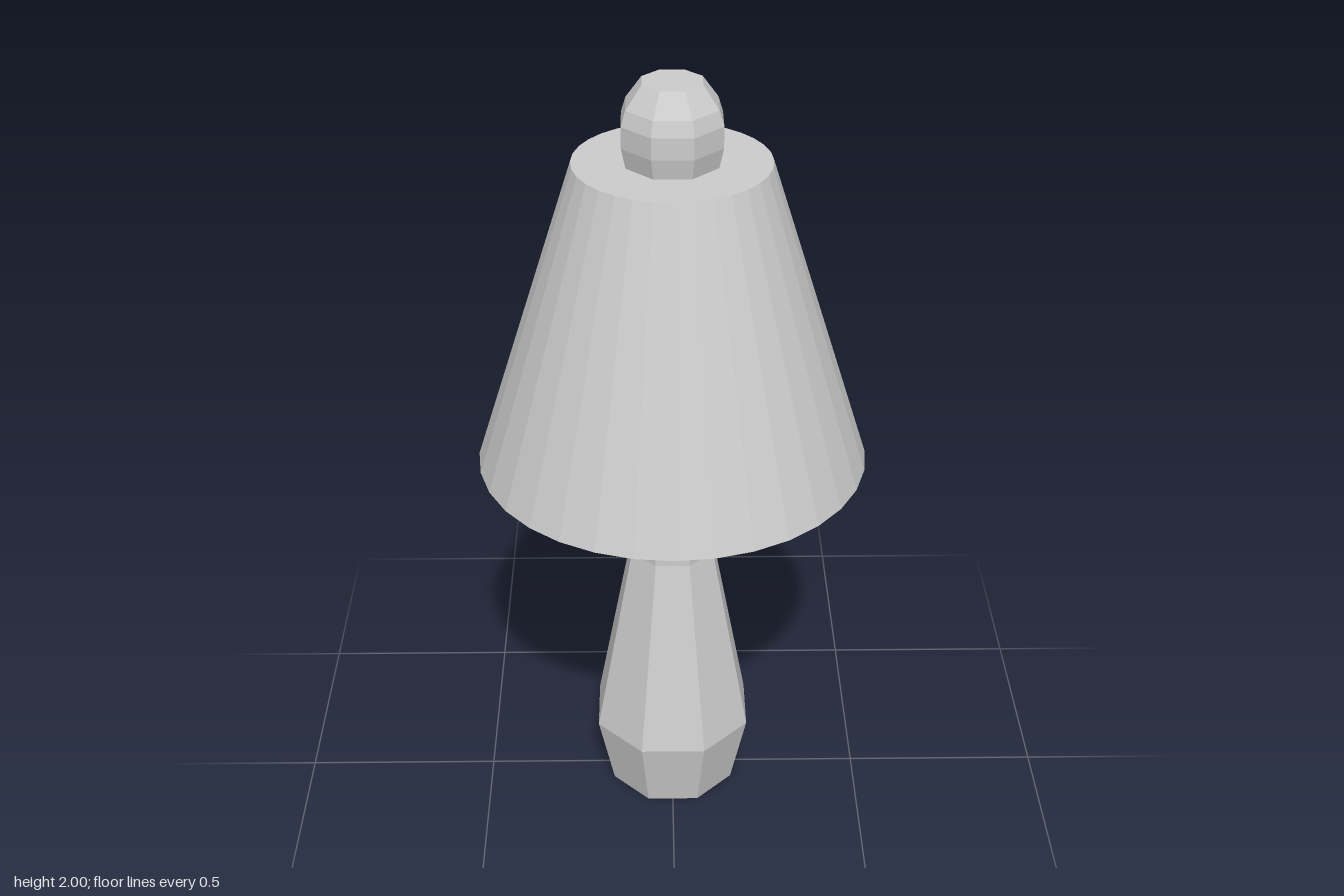
import * as THREE from 'three';

export function createModel() {
  const lamp = new THREE.Group();
  lamp.name = 'tableLamp';
  const grey = new THREE.MeshStandardMaterial({ color: 0xcccccc, flatShading: true });
  grey.name = 'plain grey';

  // Faceted solid of revolution; profile runs bottom to top as [radius, height]
  function turned(name, sides, profile, phase = 0, scale = 1) {
    const points = profile.map(([r, y]) => new THREE.Vector2(r * scale, y));
    const mesh = new THREE.Mesh(new THREE.LatheGeometry(points, sides, phase), grey);
    mesh.name = name;
    lamp.add(mesh);
  }

  // Octagonal parts have flats facing front and sides; radii below are to the flats
  const phase = Math.PI / 8;
  const toCorner = 1 / Math.cos(phase);

  // Flared foot tapering to the neck
  turned('base', 8, [[0, 0], [0.16, 0], [0.2, 0.2], [0.105, 0.735], [0, 0.735]], phase, toCorner);

  // Straight stem running up into the shade
  turned('stem', 8, [[0.105, 0.735], [0.105, 1.1]], phase, toCorner);

  // Closed conical shade
  turned('shade', 32, [[0, 1.015], [0.487, 1.015], [0.237, 1.805], [0, 1.805]]);

  // Domed finial on top
  turned('finial', 8, [
    [0.107, 1.8], [0.118, 1.855], [0.118, 1.908], [0.107, 1.945], [0.07, 2], [0, 2],
  ], phase, toCorner);

  return lamp;
}
